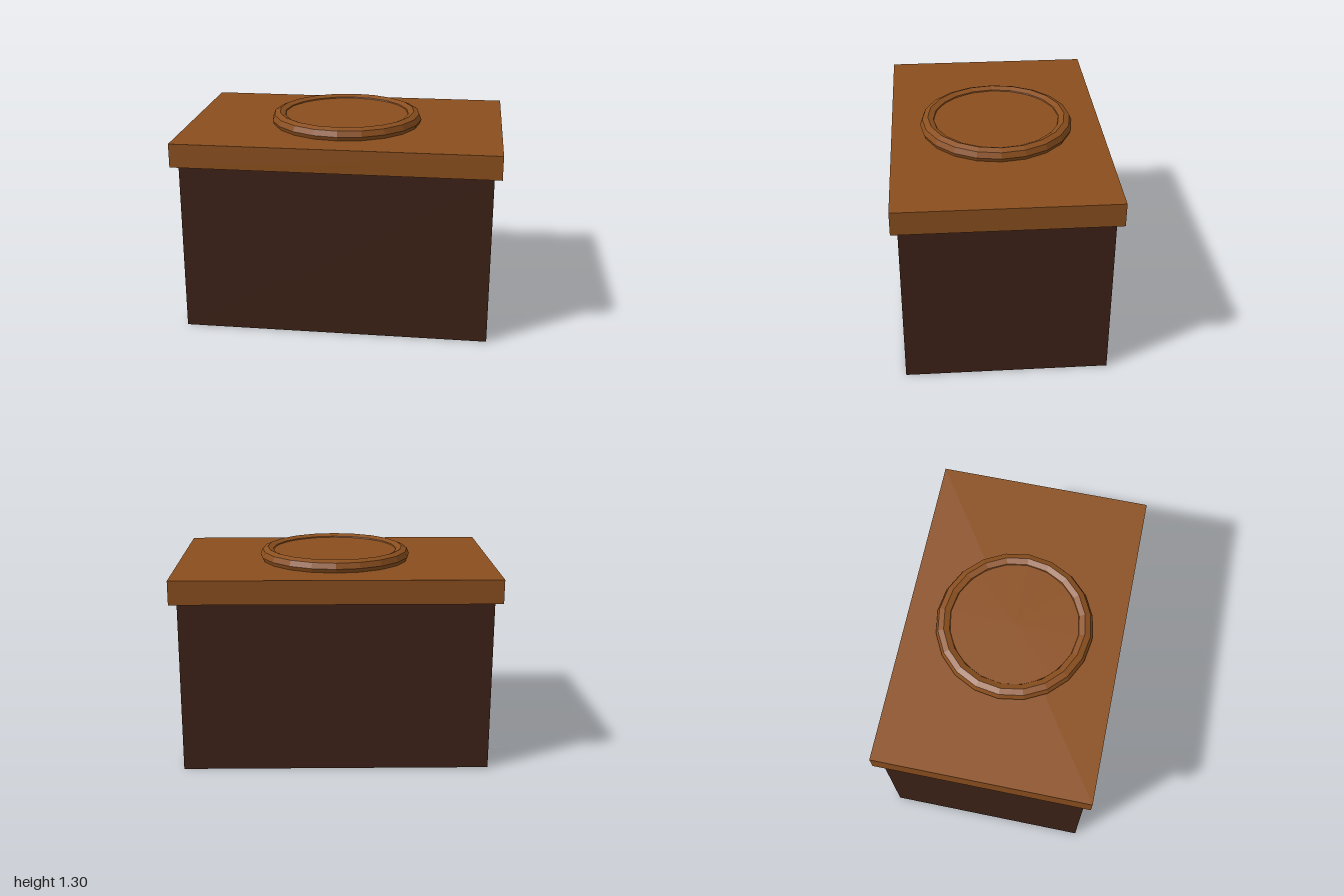
import * as THREE from 'three';

export function createModel() {
  const model = new THREE.Group();
  const dark = new THREE.MeshStandardMaterial({ color: 0x3d2218, flatShading: true });
  const wood = new THREE.MeshStandardMaterial({ color: 0x8b4f1e, flatShading: true });

  const add = (name, geometry, material, y) => {
    const mesh = new THREE.Mesh(geometry, material);
    mesh.name = name;
    mesh.position.y = y;
    model.add(mesh);
    return mesh;
  };

  // Box body and overhanging lid slab
  add('body', new THREE.BoxGeometry(1.91, 1.075, 1.254), dark, 0.5375);
  add('lid', new THREE.BoxGeometry(2, 0.148, 1.334), wood, 1.148);

  // Round medallion: raised disc held by a faceted rim
  add('medallionDisc', new THREE.CylinderGeometry(0.4, 0.4, 0.06, 16), wood, 1.246);
  const rim = new THREE.TorusGeometry(0.435, 0.05, 8, 20).rotateX(-Math.PI / 2);
  add('medallionRim', rim, wood, 1.247);

  return model;
}
